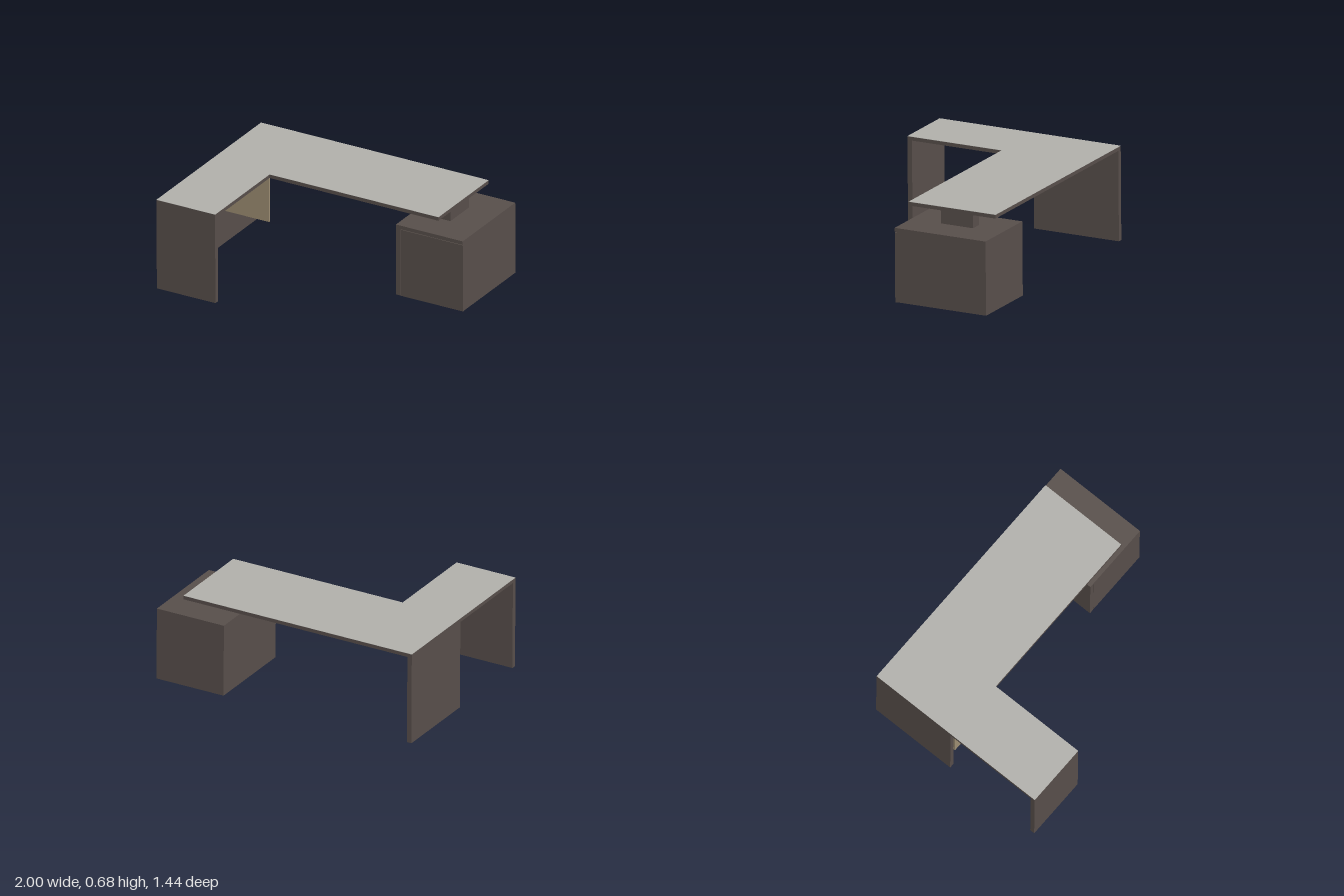
import * as THREE from 'three';

export function createModel() {
  const model = new THREE.Group();
  model.name = 'cornerDesk';

  const mat = (name, color) => {
    const m = new THREE.MeshStandardMaterial({ color });
    m.name = name;
    return m;
  };
  const darkWood = mat('darkWood', 0x574e4a);
  const greyTop = mat('greyTop', 0xb0afaa);
  const tanPanel = mat('tanPanel', 0x9c8d72);

  // Everything sits in one frame that leans back very slightly
  const desk = new THREE.Group();
  desk.name = 'desk';
  desk.rotation.x = 0.0075;
  model.add(desk);

  // Box given by its limits on each axis
  const box = (name, material, [x0, x1], [y0, y1], [z0, z1], parent = desk) => {
    const mesh = new THREE.Mesh(new THREE.BoxGeometry(x1 - x0, y1 - y0, z1 - z0), material);
    mesh.position.set((x0 + x1) / 2, (y0 + y1) / 2, (z0 + z1) / 2);
    mesh.name = name;
    parent.add(mesh);
    return mesh;
  };

  // L-shaped slab: main top along the back, return running forward
  const outline = [[-1, -0.693], [0.805, -0.693], [0.805, -0.02], [-0.535, -0.02], [-0.535, 0.711], [-1, 0.711]];
  const shape = new THREE.Shape(outline.map(([x, z]) => new THREE.Vector2(x, -z)));
  const slab = (name, material, y0, y1) => {
    const geo = new THREE.ExtrudeGeometry(shape, { depth: y1 - y0, bevelEnabled: false });
    geo.rotateX(-Math.PI / 2);
    const mesh = new THREE.Mesh(geo, material);
    mesh.position.y = y0;
    mesh.name = name;
    desk.add(mesh);
  };
  slab('desktop', darkWood, 0.65, 0.676);
  slab('desktopSurface', greyTop, 0.676, 0.678);

  // Panel legs and the privacy panel under the inner corner
  box('frontLeg', darkWood, [-1, -0.535], [0.006, 0.65], [0.676, 0.711]);
  box('sideLeg', darkWood, [-1, -0.965], [0.004, 0.65], [-0.693, -0.035]);
  box('privacyPanel', tanPanel, [-0.97, -0.54], [0.315, 0.65], [-0.035, -0.02]);

  // Cabinet: carcass framed by a top and a side panel, with an inset door
  const cabinet = new THREE.Group();
  cabinet.name = 'cabinet';
  desk.add(cabinet);
  box('carcass', darkWood, [0.505, 1], [0.013, 0.516], [-0.72, -0.034], cabinet);
  box('cabinetTop', darkWood, [0.47, 1], [0.516, 0.543], [-0.72, -0.015], cabinet);
  box('cabinetSide', darkWood, [0.47, 0.505], [0.013, 0.516], [-0.72, -0.015], cabinet);
  box('cabinetDoor', darkWood, [0.509, 1], [0.011, 0.512], [-0.034, -0.016], cabinet);

  // Block carrying the desktop on the cabinet
  box('supportBlock', darkWood, [0.68, 0.765], [0.543, 0.65], [-0.497, -0.247]);

  return model;
}
